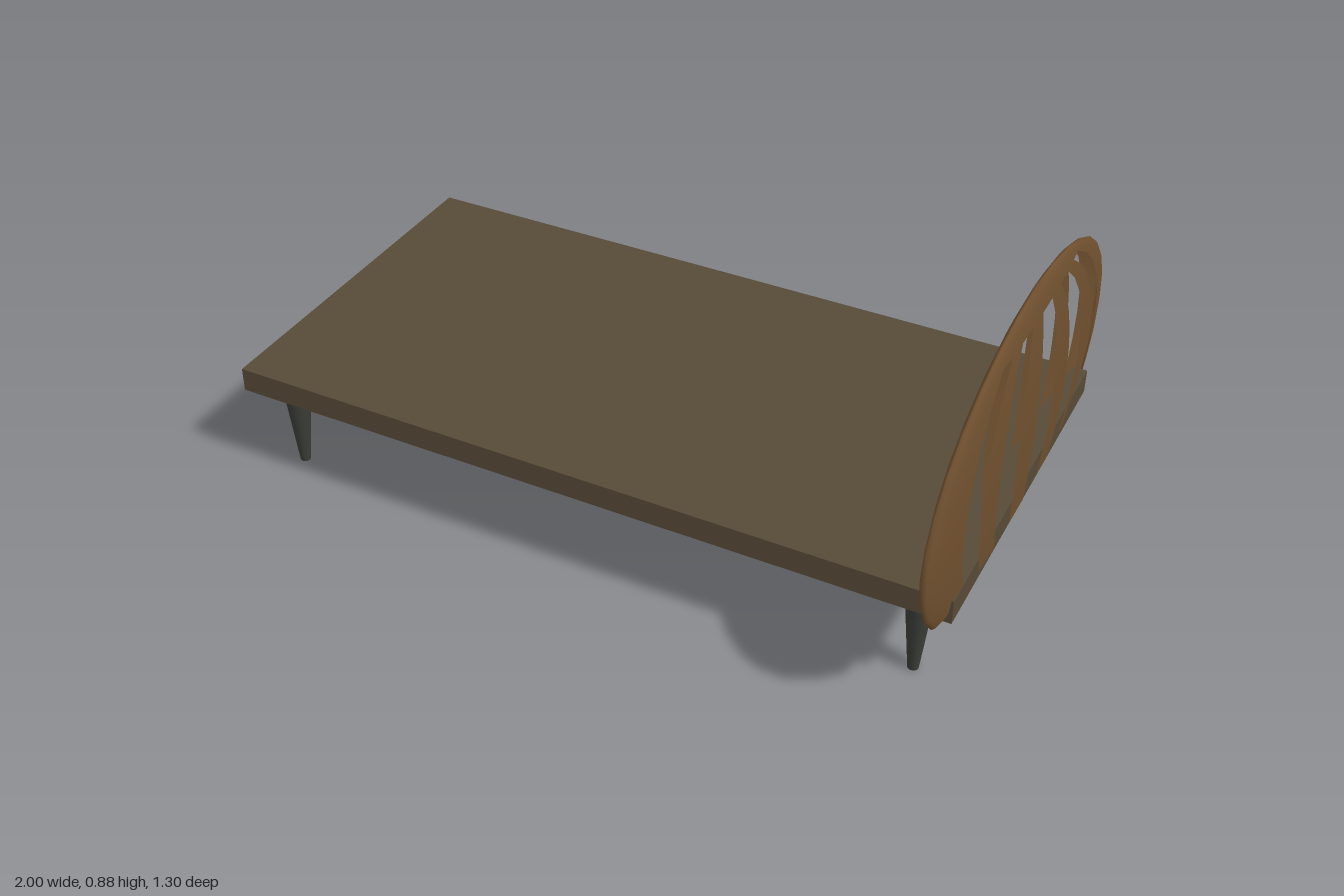
import * as THREE from 'three';

const material = (name, color, side = THREE.FrontSide) => {
  const m = new THREE.MeshStandardMaterial({ color, side });
  m.name = name;
  return m;
};

// Flattened dome, open at the bottom, with every other column cut out as a slot
function slottedDome() {
  const columns = 32, rows = 11, firstSlotRow = 3;
  const geo = new THREE.SphereGeometry(1, columns, rows, 0, Math.PI * 2, 0, Math.PI * rows / 16);
  const index = [];
  for (let r = 0; r < rows; r++) {
    for (let c = 0; c < columns; c++) {
      // Column number measured from the broad face towards +z, the same on both faces
      const phi = (c + 0.5) / columns * Math.PI * 2;
      const k = Math.floor(Math.atan2(Math.sin(phi), Math.abs(Math.cos(phi))) / (Math.PI / 16));
      const isSlot = k % 2 !== 0 && k >= -5 && k <= 3;
      if (r >= firstSlotRow && isSlot) continue;
      const a = r * (columns + 1) + c + 1, b = a - 1;
      const d = b + columns + 1, e = d + 1;
      if (r > 0) index.push(a, b, e);
      index.push(b, d, e);
    }
  }
  geo.setIndex(index);
  geo.scale(0.041, 0.39, 0.65);
  return geo;
}

export function createModel() {
  const group = new THREE.Group();
  group.name = 'bed';

  const baseMat = material('dull brown', 0x574a37);
  const woodMat = material('warm wood', 0x6e4f2e, THREE.DoubleSide);
  const legMat = material('dark grey', 0x3b3d38);

  const add = (name, geo, mat, x, y, z) => {
    const mesh = new THREE.Mesh(geo, mat);
    mesh.name = name;
    mesh.position.set(x, y, z);
    group.add(mesh);
  };

  // Flat platform
  add('platform', new THREE.BoxGeometry(1.985, 0.067, 1.015), baseMat, -0.0075, 0.2815, -0.0325);

  // Slotted headboard
  add('headboard', slottedDome(), woodMat, 0.959, 0.489, 0);

  // Tapered legs
  const legGeo = new THREE.CylinderGeometry(0.038, 0.014, 0.249, 24);
  for (const x of [-0.893, 0.88]) {
    for (const z of [0.393, -0.442]) add('leg', legGeo, legMat, x, 0.1245, z);
  }
  return group;
}
